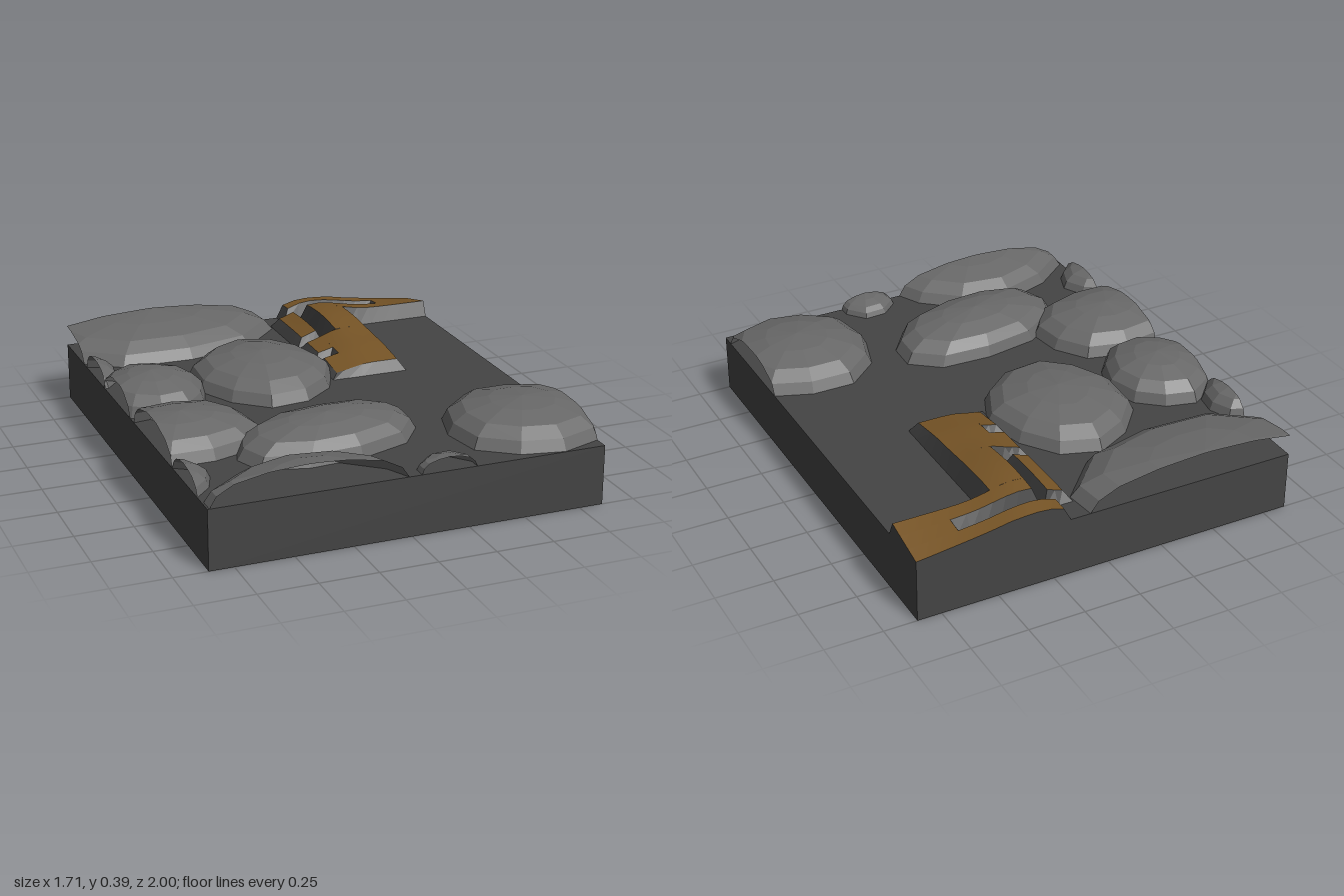
import * as THREE from 'three';

const HX = 0.855, HZ = 1, TOP = 0.26;
const clamp01 = (v) => Math.min(1, Math.max(0, v));

// Cut a polygon against the four upright sides of the slab
function clipToSlab(poly) {
  const planes = [[0, 1, HX], [0, -1, HX], [2, 1, HZ], [2, -1, HZ]];
  for (const [axis, sign, limit] of planes) {
    const out = [];
    poly.forEach((a, i) => {
      const b = poly[(i + 1) % poly.length];
      const da = limit - sign * a[axis], db = limit - sign * b[axis];
      if (da >= 0) out.push(a);
      if (da * db < 0) out.push(a.map((v, k) => v + (b[k] - v) * da / (da - db)));
    });
    poly = out;
  }
  return poly;
}

// Faceted cobble: irregular elliptical rings, open where the slab edge cuts it
function cobble({ x, z, rx, rz, turn = 0, h = 0.39, sides = 11 }, seed) {
  const profile = [[1, 0], [0.93, 0.37], [0.76, 0.68], [0.42, 0.9], [0, 1]];
  const point = (ring, i) => {
    const [r, t] = profile[ring];
    const k = i % sides, a = (k / sides) * Math.PI * 2 + seed;
    const wobble = 1 + 0.035 * Math.sin(k * 2.3 + seed * 1.7);
    const px = Math.cos(a) * rx * r * wobble, pz = Math.sin(a) * rz * r * wobble;
    return [x + px * Math.cos(turn) - pz * Math.sin(turn),
      TOP + (h - TOP) * t,
      z + px * Math.sin(turn) + pz * Math.cos(turn)];
  };
  const pos = [];
  for (let ring = 0; ring < profile.length - 1; ring++) {
    for (let i = 0; i < sides; i++) {
      const a = point(ring, i), b = point(ring, i + 1);
      const c = point(ring + 1, i + 1), d = point(ring + 1, i);
      const tris = ring === profile.length - 2 ? [[a, d, b]] : [[a, d, c], [a, c, b]];
      for (const tri of tris) {
        const p = clipToSlab(tri);
        for (let n = 1; n < p.length - 1; n++) pos.push(...p[0], ...p[n], ...p[n + 1]);
      }
    }
  }
  const geo = new THREE.BufferGeometry();
  geo.setAttribute('position', new THREE.Float32BufferAttribute(pos, 3));
  geo.computeVertexNormals();
  return geo;
}

// Gently swelling surface of the inlaid pattern
function inlayHeight(x, z) {
  const swell = 0.045 * Math.exp(-(((x - 0.33) / 0.14) ** 2) - ((z + 0.7) / 0.28) ** 2);
  const corner = 0.05 * clamp01((x - 0.45) / 0.4) * clamp01((-0.79 - z) / 0.21);
  const end = 0.02 * clamp01((z + 0.3) / 0.16);
  return 0.328 + swell - corner - end - 0.2 * Math.max(0, 0.28 - x);
}

// Raised block with a swelling top and walls that flare out at the foot
function inlayBlock([x0, x1, z0, z1]) {
  const w = x1 - x0, d = z1 - z0, flare = 0.035;
  const geo = new THREE.BoxGeometry(w, 1, d, Math.ceil(w / 0.06), 1, Math.ceil(d / 0.06));
  const p = geo.attributes.position;
  for (let i = 0; i < p.count; i++) {
    let x = p.getX(i) + (x0 + x1) / 2, z = p.getZ(i) + (z0 + z1) / 2, y;
    if (p.getY(i) > 0) {
      y = inlayHeight(x, z);
    } else {
      y = TOP - 0.005;
      x = x0 - flare + (x - x0) * (w + 2 * flare) / w;
      z = z0 - flare + (z - z0) * (d + 2 * flare) / d;
      x = Math.min(HX, x);
      z = Math.max(-HZ, z);
    }
    p.setXYZ(i, x, y, z);
  }
  geo.computeVertexNormals();
  return geo;
}

export function createModel() {
  const model = new THREE.Group();
  const slabMat = new THREE.MeshStandardMaterial({ color: 0x444444, flatShading: true });
  const stoneMat = new THREE.MeshStandardMaterial({
    color: 0x686868, flatShading: true, side: THREE.DoubleSide });
  const brownMat = new THREE.MeshStandardMaterial({ color: 0x765426 });

  // Base slab
  const slab = new THREE.Mesh(new THREE.BoxGeometry(HX * 2, TOP, HZ * 2), slabMat);
  slab.position.y = TOP / 2;
  slab.name = 'slab';
  model.add(slab);

  // Cobbles
  const cobbles = new THREE.Group();
  cobbles.name = 'cobbles';
  [
    { x: -0.45, z: -0.98, rx: 0.57, rz: 0.4 },
    { x: -0.95, z: -0.53, rx: 0.2, rz: 0.17, h: 0.36 },
    { x: -0.7, z: -0.2, rx: 0.24, rz: 0.27 },
    { x: -0.175, z: -0.255, rx: 0.31, rz: 0.36, h: 0.393 },
    { x: -0.73, z: 0.3, rx: 0.34, rz: 0.28 },
    { x: -0.18, z: 0.53, rx: 0.43, rz: 0.24, turn: -0.2 },
    { x: -0.95, z: 0.72, rx: 0.2, rz: 0.18, h: 0.35 },
    { x: -0.43, z: 1.04, rx: 0.43, rz: 0.31, h: 0.385 },
    { x: 0.16, z: 1.0, rx: 0.13, rz: 0.14, h: 0.32, sides: 8 },
    { x: 0.64, z: 0.67, rx: 0.34, rz: 0.33, h: 0.393 },
  ].forEach((spec, i) => {
    const mesh = new THREE.Mesh(cobble(spec, i * 0.7 + 0.3), stoneMat);
    mesh.name = `cobble${i + 1}`;
    cobbles.add(mesh);
  });
  model.add(cobbles);

  // Angular raised inlay: brown tops, dark walls; blocks given as x0, x1, z0, z1
  const inlay = new THREE.Group();
  inlay.name = 'inlay';
  [
    [0.21, HX, -HZ, -0.93],
    [0.64, HX, -0.93, -0.86],
    [0.28, HX, -0.86, -0.79],
    [0.28, 0.43, -0.79, -0.5],
    [0.21, 0.43, -0.5, -0.14],
    [0.14, 0.21, -0.5, -0.36],
    [0.14, 0.21, -0.29, -0.14],
    [0.14, 0.21, -0.86, -0.57],
  ].forEach((rect, i) => {
    const mesh = new THREE.Mesh(inlayBlock(rect),
      [slabMat, slabMat, brownMat, slabMat, slabMat, slabMat]);
    mesh.name = `inlayBlock${i + 1}`;
    inlay.add(mesh);
  });
  model.add(inlay);
  return model;
}
